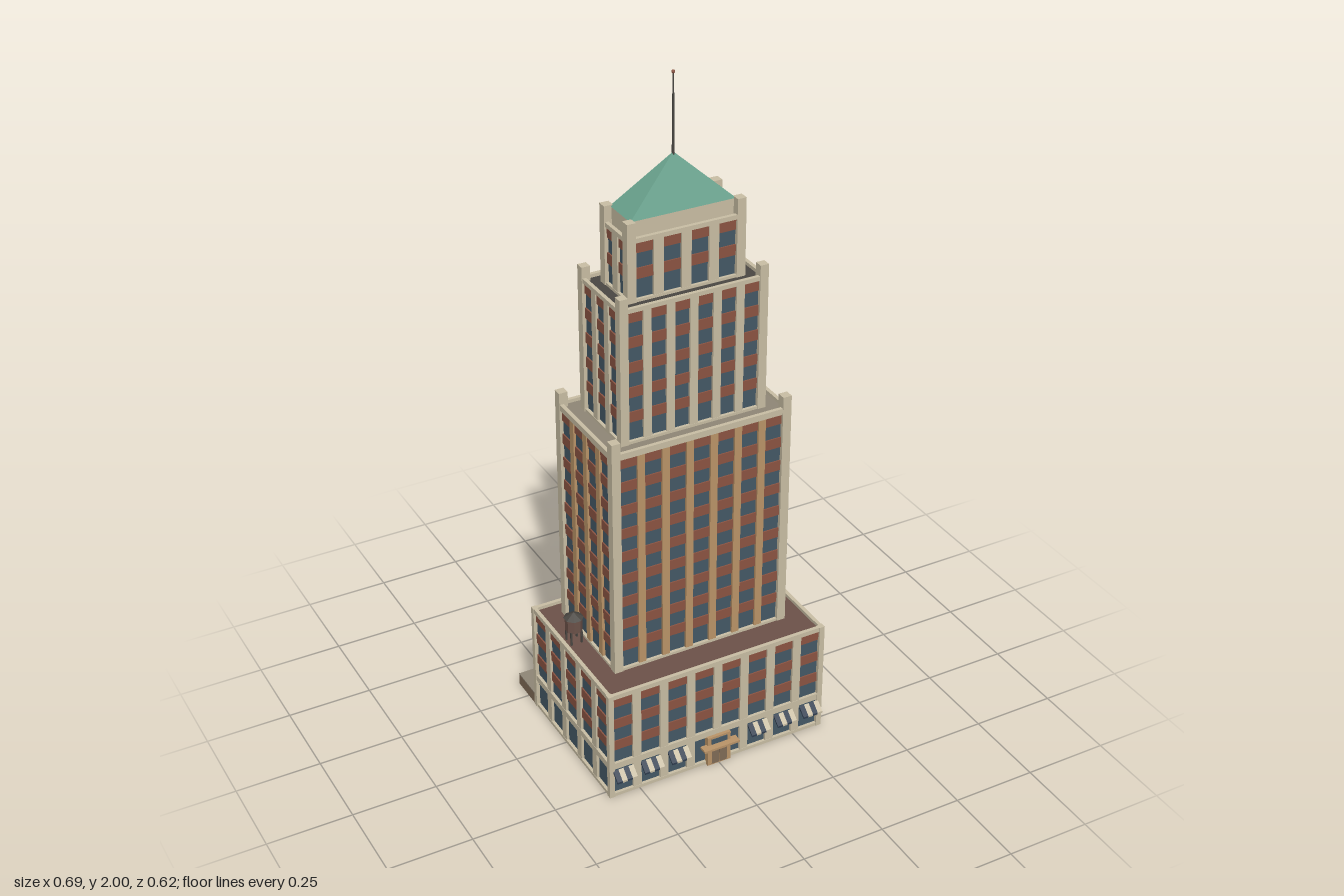
import * as THREE from 'three';

const COLORS = {
  cream: 0xc9bea4, tan: 0xba9468, brick: 0x8c5442, glass: 0x445866, copper: 0x6aa38e,
  roofRed: 0x6c5249, gravel: 0x8f8676, tar: 0x4a4742, navy: 0x2f3d4f, wood: 0x806b56,
};
const ZC = 0.0135; // tower centre line
const FLOOR = 0.0735;

export function createModel() {
  const mat = {};
  for (const [name, color] of Object.entries(COLORS)) {
    mat[name] = new THREE.MeshStandardMaterial({ color });
    mat[name].name = name;
  }
  const root = new THREE.Group();
  root.name = 'skyscraper';

  const add = (parent, name, geo, m, x = 0, y = 0, z = 0) => {
    const mesh = new THREE.Mesh(geo, mat[m]);
    mesh.name = name;
    mesh.position.set(x, y, z);
    parent.add(mesh);
    return mesh;
  };
  // Box given by its centre in x and z and its bottom and top
  const box = (parent, name, m, w, d, y0, y1, x = 0, z = 0) =>
    add(parent, name, new THREE.BoxGeometry(w, y1 - y0, d), m, x, (y0 + y1) / 2, z);
  const flat = (geo) => {
    const g = geo.toNonIndexed();
    g.computeVertexNormals();
    return g;
  };
  // Rectangular rim, open in the middle
  const rim = (parent, name, m, w, d, t, y0, y1) => {
    for (const s of [-1, 1]) {
      box(parent, name, m, w, t, y0, y1, 0, s * (d - t) / 2);
      box(parent, name, m, t, d - 2 * t, y0, y1, s * (w - t) / 2, 0);
    }
  };

  // One stepped block: glass core, brick spandrels, piers, corner posts, parapet and roof
  function tier(o) {
    const g = new THREE.Group();
    g.name = o.name;
    g.position.z = o.zc;
    root.add(g);
    const w = 2 * o.hx, d = 2 * o.hz, roofY = o.y1 - 0.012;
    box(g, 'windowCore', 'glass', w - 0.022, d - 0.022, o.y0, roofY - 0.002);
    for (let i = 0; i < o.floors; i++) {
      const y = o.wall + i * FLOOR;
      box(g, 'spandrel', 'brick', w - 0.014, d - 0.014, y + 0.043, y + FLOOR);
    }
    const wallTop = o.wall + o.floors * FLOOR;
    box(g, 'baseLedge', 'cream', w - 0.004, d - 0.004, o.y0, o.y0 + 0.01);
    box(g, 'topBand', 'cream', w - 0.004, d - 0.004, wallTop, roofY);
    rim(g, 'parapet', 'cream', w - 0.004, d - 0.004, 0.011, roofY, o.y1);
    box(g, 'roofDeck', o.roof, w - 0.026, d - 0.026, roofY, roofY + 0.002);
    for (const sx of [-1, 1]) for (const sz of [-1, 1]) {
      box(g, 'cornerPost', 'cream', o.post, o.post, o.y0, o.postTop,
        sx * (o.hx - o.post / 2), sz * (o.hz - o.post / 2));
    }
    // piers between the window bays on all four sides
    for (const s of [-1, 1]) {
      const spanX = w - 2 * o.post + o.pier, spanZ = d - 2 * o.post + o.pier;
      for (let i = 1; i < o.nx; i++) {
        box(g, 'pier', o.pierMat, o.pier, 0.014, o.y0, wallTop,
          (i / o.nx - 0.5) * spanX, s * (o.hx && o.hz - 0.01));
      }
      for (let i = 1; i < o.nz; i++) {
        box(g, 'pier', o.pierMat, 0.014, o.pier, o.y0, wallTop,
          s * (o.hx - 0.01), (i / o.nz - 0.5) * spanZ);
      }
    }
    return g;
  }

  const podium = tier({ name: 'podium', hx: 0.345, hz: 0.243, zc: 0.0375, y0: 0, y1: 0.35, wall: 0.115,
    floors: 3, post: 0.016, postTop: 0.35, nx: 8, nz: 5, pier: 0.026, pierMat: 'cream', roof: 'roofRed' });
  box(podium, 'shopCornice', 'cream', 0.686, 0.482, 0.095, 0.115);
  box(podium, 'foundation', 'gravel', 0.684, 0.48, 0, 0.004).position.y = 0.0015;
  tier({ name: 'lowerTower', hx: 0.273, hz: 0.167, zc: ZC, y0: 0.338, y1: 1.04, wall: 0.36,
    floors: 9, post: 0.026, postTop: 1.075, nx: 7, nz: 4, pier: 0.022, pierMat: 'tan', roof: 'gravel' });
  tier({ name: 'middleTower', hx: 0.22, hz: 0.119, zc: ZC, y0: 1.028, y1: 1.43, wall: 1.05,
    floors: 5, post: 0.025, postTop: 1.462, nx: 6, nz: 3, pier: 0.024, pierMat: 'cream', roof: 'tar' });
  tier({ name: 'upperTower', hx: 0.174, hz: 0.076, zc: ZC, y0: 1.418, y1: 1.6, wall: 1.44,
    floors: 2, post: 0.026, postTop: 1.645, nx: 4, nz: 2, pier: 0.029, pierMat: 'cream', roof: 'roofRed' });

  // Crown, hipped roof and mast
  box(root, 'crown', 'cream', 0.304, 0.11, 1.585, 1.64, 0, ZC);
  const hip = new THREE.ConeGeometry(Math.SQRT1_2, 0.14, 4);
  hip.rotateY(Math.PI / 4);
  hip.scale(0.308, 1, 0.113);
  add(root, 'copperRoof', flat(hip), 'copper', 0, 1.71, ZC);
  add(root, 'mast', new THREE.CylinderGeometry(0.002, 0.004, 0.23, 6), 'tar', 0, 1.88, ZC);
  add(root, 'beacon', new THREE.SphereGeometry(0.005, 8, 6), 'brick', 0, 1.995, ZC);

  // Striped sloping awnings over the shopfronts
  const wedge = new THREE.Shape([[0, 0.092], [0, 0.084], [0.026, 0.063], [0.026, 0.069]]
    .map(([z, y]) => new THREE.Vector2(z, y)));
  const stripeGeo = new THREE.ExtrudeGeometry(wedge, { depth: 0.0157, bevelEnabled: false });
  stripeGeo.rotateY(-Math.PI / 2); // profile runs outward along +z
  for (const bay of [-3.5, -2.5, -1.5, 1.5, 2.5, 3.5]) {
    const awning = new THREE.Group();
    awning.name = 'awning';
    awning.position.set(bay * 0.0862, 0, 0.279);
    for (let i = 0; i < 4; i++) {
      add(awning, 'awningStripe', stripeGeo, i % 2 ? 'cream' : 'navy', -0.0157 + i * 0.0157);
    }
    root.add(awning);
  }

  // Main entrance
  const entrance = new THREE.Group();
  entrance.name = 'entrance';
  entrance.position.z = 0.28;
  root.add(entrance);
  box(entrance, 'portal', 'tan', 0.074, 0.016, 0, 0.097);
  box(entrance, 'entranceCanopy', 'tan', 0.114, 0.027, 0.064, 0.071, 0, 0.0135);
  box(entrance, 'transom', 'glass', 0.05, 0.004, 0.073, 0.09, 0, 0.008);
  for (const s of [-1, 1]) box(entrance, 'doorLeaf', 'wood', 0.023, 0.004, 0.004, 0.058, s * 0.0125, 0.008);

  // Rear loading dock
  const dock = new THREE.Group();
  dock.name = 'loadingDock';
  root.add(dock);
  box(dock, 'dockPlatform', 'wood', 0.69, 0.106, 0.004, 0.038, 0, -0.257);
  box(dock, 'dockPaving', 'gravel', 0.69, 0.106, 0.038, 0.042, 0, -0.257);
  box(dock, 'dockCanopy', 'tar', 0.137, 0.047, 0.09, 0.096, 0.0985, -0.2265);
  for (const x of [0.066, 0.131]) box(dock, 'dockDoor', 'tar', 0.054, 0.008, 0.042, 0.088, x, -0.203);
  box(dock, 'crate', 'wood', 0.02, 0.02, 0.042, 0.06, 0.056, -0.256);
  for (let i = 0; i < 4; i++) {
    add(dock, 'bin', flat(new THREE.CylinderGeometry(0.007, 0.006, 0.02, 6)), 'gravel', -0.323 + i * 0.016, 0.052, -0.218);
  }

  // Stair house on the podium roof
  box(root, 'stairHouse', 'tan', 0.054, 0.046, 0.338, 0.4, -0.139, -0.177);
  box(root, 'stairHouseRoof', 'tar', 0.057, 0.049, 0.4, 0.406, -0.139, -0.177);
  for (const s of [-1, 1]) box(root, 'stairDoor', 'tar', 0.004, 0.018, 0.34, 0.38, -0.139 + s * 0.027, -0.18);

  // Water tank on legs
  const tank = new THREE.Group();
  tank.name = 'waterTank';
  tank.position.set(-0.303, 0, -0.012);
  root.add(tank);
  for (const sx of [-1, 1]) for (const sz of [-1, 1]) {
    box(tank, 'tankLeg', 'tar', 0.005, 0.005, 0.338, 0.382, sx * 0.016, sz * 0.016);
  }
  const eighth = Math.PI / 8;
  add(tank, 'tankBarrel', flat(new THREE.CylinderGeometry(0.025, 0.025, 0.042, 8).rotateY(eighth)), 'roofRed', 0, 0.401);
  add(tank, 'tankLid', flat(new THREE.ConeGeometry(0.029, 0.017, 8).rotateY(eighth)), 'tar', 0, 0.4295);

  // Roof vents
  for (const x of [0.068, 0.172]) {
    add(root, 'ventPipe', new THREE.CylinderGeometry(0.005, 0.005, 0.02, 8), 'gravel', x, 0.348, -0.178);
    add(root, 'ventCap', flat(new THREE.ConeGeometry(0.009, 0.008, 8)), 'gravel', x, 0.362, -0.178);
  }
  return root;
}
